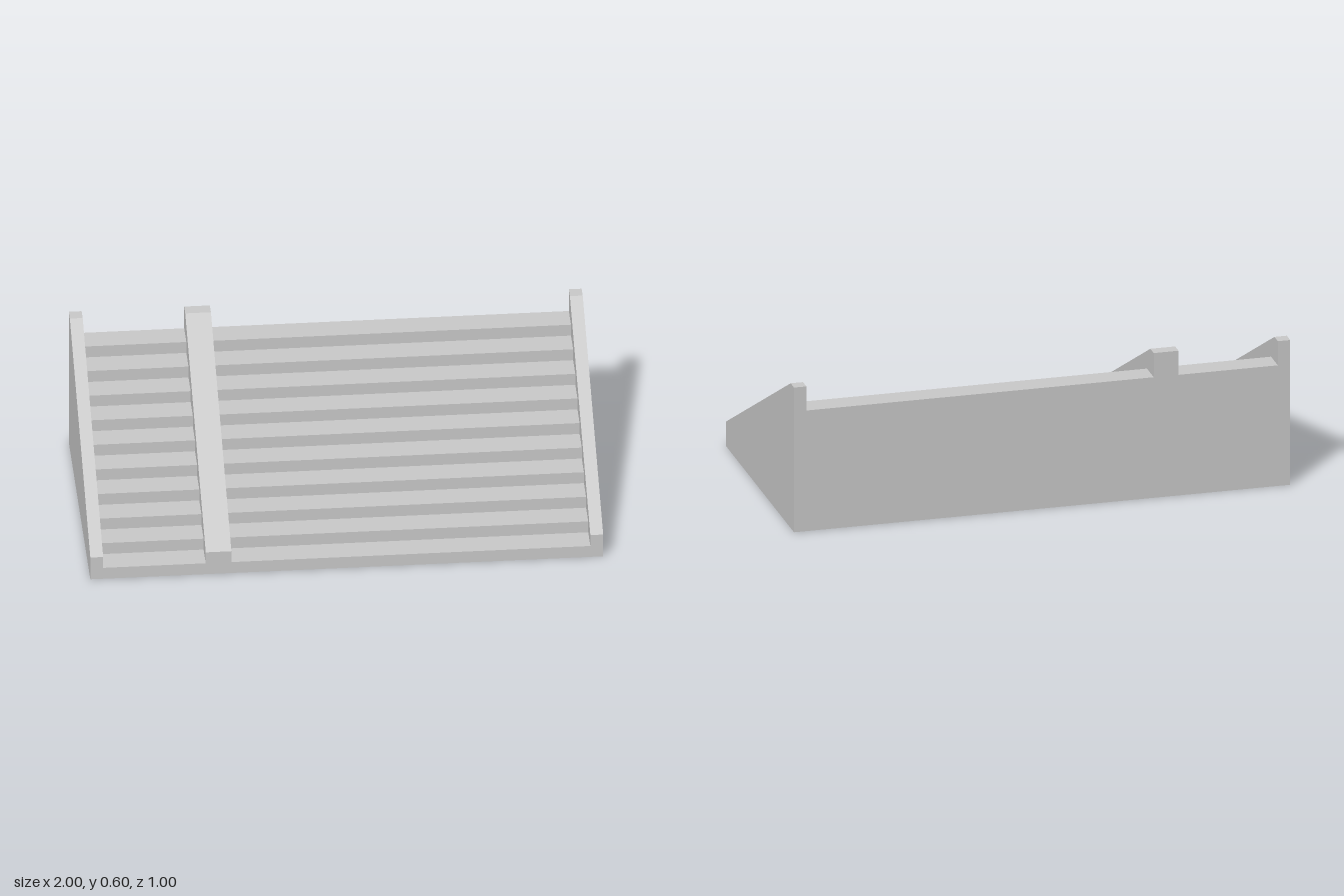
import * as THREE from 'three';

const material = new THREE.MeshStandardMaterial({ color: 0xcccccc, flatShading: true });

// Extrudes a side profile of [z, y] points across the span x0..x1
function slab(name, profile, x0, x1) {
  const shape = new THREE.Shape(profile.map(([z, y]) => new THREE.Vector2(z, y)));
  const geometry = new THREE.ExtrudeGeometry(shape, { depth: x1 - x0, bevelEnabled: false });
  geometry.rotateY(-Math.PI / 2).translate(x1, 0, 0);
  const mesh = new THREE.Mesh(geometry, material);
  mesh.name = name;
  return mesh;
}

export function createModel() {
  const group = new THREE.Group();
  group.name = 'steppedStand';

  // Sloping wall: low at the front, short flat at the back
  const wall = [[-0.5, 0], [0.5, 0], [0.5, 0.1], [-0.45, 0.6], [-0.5, 0.6]];

  // Ten equal steps rising to the back
  const count = 10, tread = 0.1, riser = 0.05;
  const stairs = [[-0.5, 0], [0.5, 0]];
  for (let i = 0; i < count; i++) {
    const y = (i + 1) * riser;
    stairs.push([0.5 - i * tread, y], [0.5 - (i + 1) * tread, y]);
  }

  group.add(
    slab('rightWall', wall, -1, -0.95),
    slab('narrowSteps', stairs, -0.95, -0.55),
    slab('divider', wall, -0.55, -0.45),
    slab('wideSteps', stairs, -0.45, 0.95),
    slab('leftWall', wall, 0.95, 1),
  );
  return group;
}
